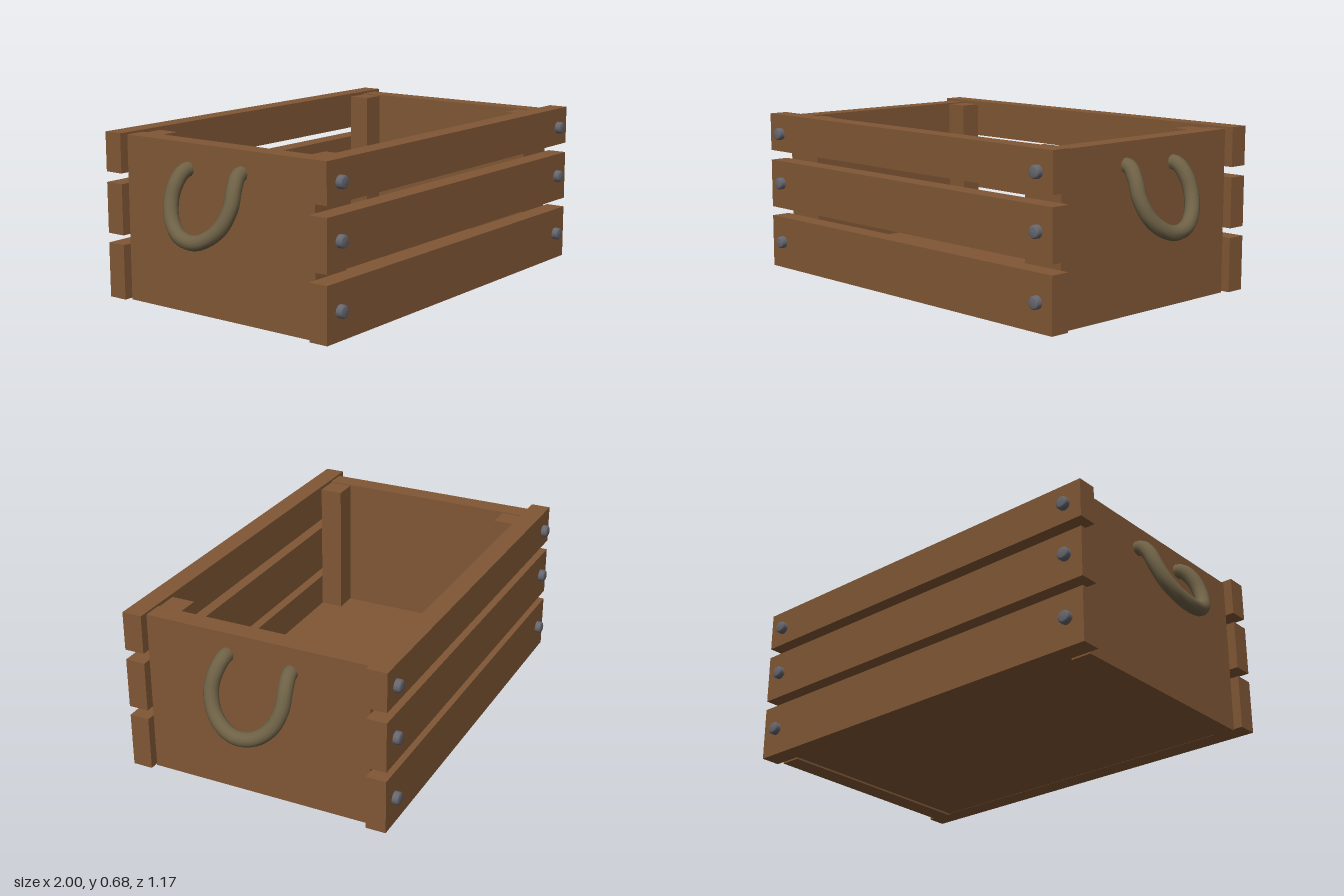
import * as THREE from 'three';

export function createModel() {
  const group = new THREE.Group();
  const material = (name, color) => {
    const m = new THREE.MeshStandardMaterial({ color });
    m.name = name;
    return m;
  };
  const wood = material('brown wood', 0x805735);
  const rope = material('rope', 0x6e6146);
  const metal = material('bolt metal', 0x66666e);

  const add = (name, geometry, mat) => {
    const mesh = new THREE.Mesh(geometry, mat);
    mesh.name = name;
    group.add(mesh);
    return mesh;
  };
  // Wooden block given by its minimum and maximum corners
  const board = (name, x0, x1, y0, y1, z0, z1) =>
    add(name, new THREE.BoxGeometry(x1 - x0, y1 - y0, z1 - z0), wood)
      .position.set((x0 + x1) / 2, (y0 + y1) / 2, (z0 + z1) / 2);

  // Floor, recessed slightly above the end boards' lower edge
  board('floor', -0.74, 0.74, 0.008, 0.09, -0.474, 0.474);

  // Domed bolt head, pointing along +z
  const boltGeometry = new THREE.LatheGeometry(
    [[0.026, -0.01], [0.026, 0.018], [0.023, 0.023], [0.018, 0.026], [0, 0.027]]
      .map(([r, y]) => new THREE.Vector2(r, y)), 16).rotateX(Math.PI / 2);

  // Long side slats with a bolt at each end: bottom, top, bolt height
  const rows = [[0.007, 0.232, 0.122], [0.272, 0.48, 0.383], [0.523, 0.684, 0.6]];
  for (const s of [1, -1]) {
    const side = s > 0 ? 'front' : 'back';
    for (const [y0, y1, boltY] of rows) {
      board(side + 'Slat', -0.863, 0.863, y0, y1, s > 0 ? 0.474 : -0.557, s > 0 ? 0.557 : -0.474);
      for (const x of [-0.787, 0.787]) {
        const bolt = add(side + 'Bolt', boltGeometry, metal);
        bolt.position.set(x, boltY, s * 0.557);
        if (s < 0) bolt.rotation.y = Math.PI;
      }
    }
  }

  // End boards, inner corner posts and rope handles
  for (const s of [1, -1]) {
    const side = s > 0 ? 'left' : 'right';
    const span = (a, b) => (s > 0 ? [a, b] : [-b, -a]);
    board(side + 'EndBoard', ...span(0.74, 0.825), 0, 0.675, -0.474, 0.474);
    board(side + 'FrontPost', ...span(0.64, 0.74), 0.09, 0.67, 0.375, 0.474);
    board(side + 'BackPost', ...span(0.64, 0.74), 0.09, 0.67, -0.474, -0.38);

    // Drooping rope loop whose ends enter the board
    const path = new THREE.CatmullRomCurve3([
      [0.79, 0.585, 0.122], [0.845, 0.58, 0.126], [0.885, 0.535, 0.139], [0.912, 0.47, 0.145],
      [0.94, 0.395, 0.118], [0.962, 0.345, 0.06], [0.969, 0.329, 0],
      [0.962, 0.343, -0.07], [0.94, 0.392, -0.128], [0.912, 0.465, -0.156],
      [0.885, 0.525, -0.156], [0.845, 0.568, -0.15], [0.79, 0.572, -0.146],
    ].map(([x, y, z]) => new THREE.Vector3(s * x, y, z)));
    add(side + 'RopeHandle', new THREE.TubeGeometry(path, 48, 0.03, 12), rope);
  }

  return group;
}
